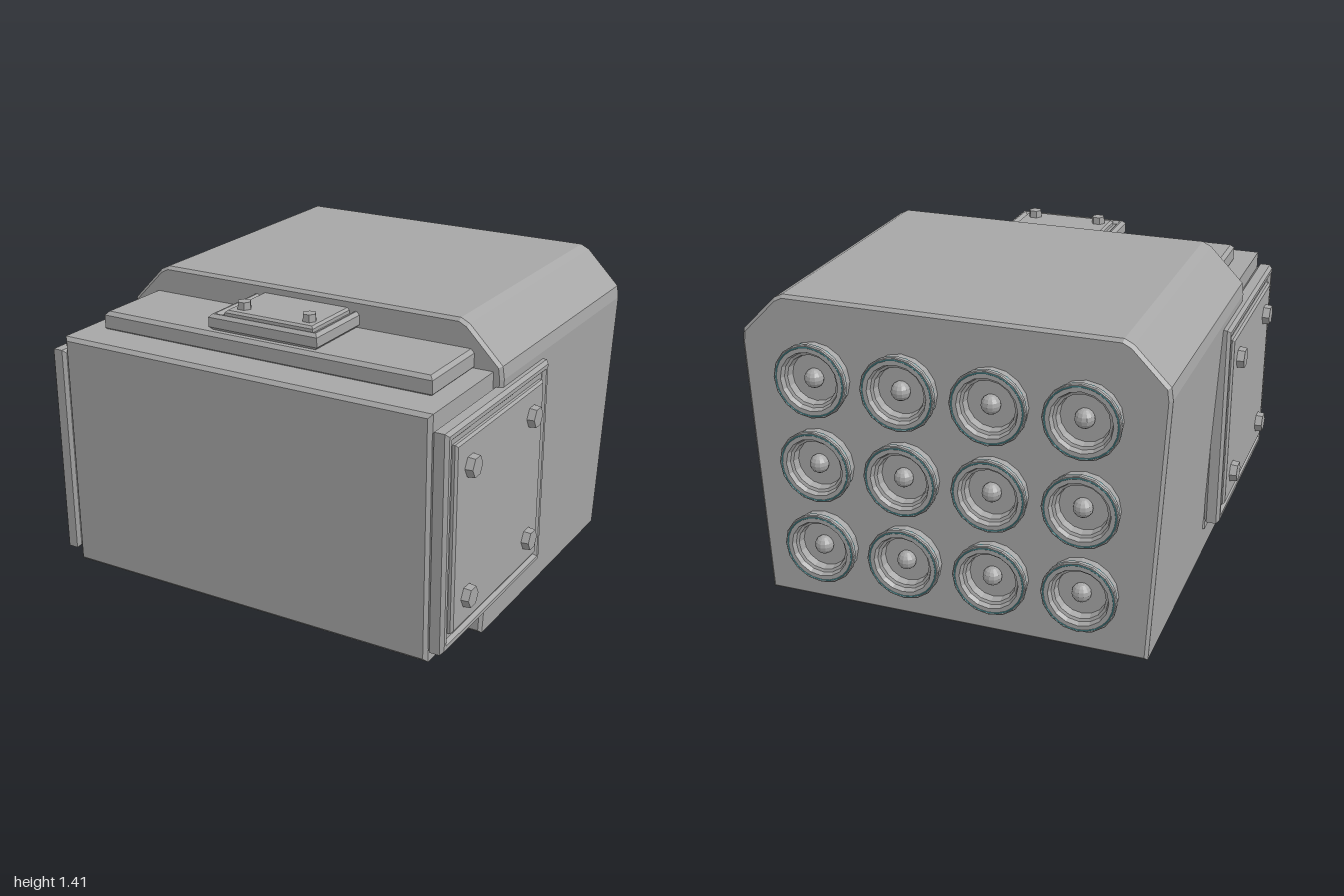
import * as THREE from 'three';

const grey = new THREE.MeshStandardMaterial({ color: 0xa6a6a6 });
grey.name = 'grey metal';
grey.flatShading = true;
const teal = new THREE.MeshStandardMaterial({ color: 0x5fb0b8 });
teal.name = 'teal trim';

function add(parent, name, geometry, x = 0, y = 0, z = 0, material = grey) {
  const mesh = new THREE.Mesh(geometry, material);
  mesh.name = name;
  mesh.position.set(x, y, z);
  parent.add(mesh);
  return mesh;
}

function rectPoints(w, h) {
  return [[-w / 2, -h / 2], [w / 2, -h / 2], [w / 2, h / 2], [-w / 2, h / 2]].map(p => new THREE.Vector2(...p));
}

// Extrudes an outline from z = 0 to z = depth, with bevelled edges inside the outline
function bevelled(points, depth, bevel, hole) {
  const shape = new THREE.Shape(points);
  if (hole) shape.holes.push(new THREE.Path(hole.slice().reverse()));
  const geometry = new THREE.ExtrudeGeometry(shape, {
    depth: depth - 2 * bevel, bevelEnabled: true, bevelSegments: 1,
    bevelSize: bevel, bevelThickness: bevel, bevelOffset: -bevel,
  });
  return geometry.translate(0, 0, bevel);
}

function bolt(radius, height) {
  return new THREE.CylinderGeometry(radius * 0.93, radius, height, 6)
    .rotateY(Math.PI / 6).rotateX(Math.PI / 2).translate(0, 0, height / 2);
}

// Framed plate facing +z: outer frame, groove, raised centre and hex bolts
function framedPlate(name, o) {
  const plate = new THREE.Group();
  plate.name = name;
  const { w, h, depth, margin, groove, bevel } = o;
  const holeW = w - 2 * margin, holeH = h - 2 * margin;
  add(plate, 'frame', bevelled(rectPoints(w, h), depth, bevel, rectPoints(holeW, holeH)));
  const floor = depth - 0.015;
  add(plate, 'grooveFloor', new THREE.BoxGeometry(holeW + 0.02, holeH + 0.02, floor), 0, 0, floor / 2);
  add(plate, 'centrePlate', bevelled(rectPoints(holeW - 2 * groove, holeH - 2 * groove), o.centre, bevel * 0.7));
  for (const [x, y] of o.bolts) add(plate, 'bolt', bolt(o.boltRadius, o.boltHeight), x, y, o.centre - 0.002);
  return plate;
}

// Round rear socket with a lip, teal seam and a domed centre
function socket() {
  const group = new THREE.Group();
  group.name = 'rearSocket';
  const profile = [[0.155, 0], [0.155, 0.044], [0.165, 0.048], [0.165, 0.062], [0.161, 0.066],
    [0.132, 0.066], [0.124, 0.045], [0.112, 0.04], [0.106, 0.006], [0, 0.006]];
  const toBack = g => g.rotateX(-Math.PI / 2);
  add(group, 'socketRim', toBack(new THREE.LatheGeometry(profile.map(p => new THREE.Vector2(...p)), 16)));
  add(group, 'tealSeam', toBack(new THREE.CylinderGeometry(0.1625, 0.1625, 0.006, 24, 1, true)), 0, 0, -0.046, teal);
  add(group, 'tealRing', new THREE.TorusGeometry(0.153, 0.003, 4, 24), 0, 0, -0.066, teal);
  add(group, 'socketDome', new THREE.SphereGeometry(0.042, 12, 8), 0, 0, -0.016);
  return group;
}

export function createModel() {
  const model = new THREE.Group();
  model.name = 'housingUnit';

  // Tapered rear housing with chamfered shoulders
  const half = [[0.872, 0.005], [0.93, 1.19], [0.922, 1.245], [0.77, 1.4], [0.73, 1.42]];
  const outline = [...half, ...half.slice().reverse().map(([x, y]) => [-x, y])];
  add(model, 'rearHousing', bevelled(outline.map(p => new THREE.Vector2(...p)), 1.3, 0.014), 0, 0, -0.89);

  // Front block and the slab on top of it
  add(model, 'frontBlock', bevelled(rectPoints(1.775, 1.07), 0.93, 0.016), 0, 0.685, 0.02);
  add(model, 'topSlab', bevelled(rectPoints(1.6, 0.48), 0.09, 0.016).rotateX(-Math.PI / 2), 0, 1.21, 0.535);

  // Hatch on the slab
  const hatch = framedPlate('topHatch', {
    w: 0.53, h: 0.45, depth: 0.07, margin: 0.035, groove: 0.014, bevel: 0.014, centre: 0.08,
    bolts: [[-0.16, -0.11], [0.16, -0.11]], boltRadius: 0.032, boltHeight: 0.034,
  });
  hatch.rotation.x = -Math.PI / 2;
  hatch.position.set(0, 1.3, 0.525);
  model.add(hatch);

  // Bolted side panels
  for (const side of [-1, 1]) {
    const panel = framedPlate(side > 0 ? 'leftPanel' : 'rightPanel', {
      w: 0.95, h: 0.95, depth: 0.073, margin: 0.045, groove: 0.022, bevel: 0.014, centre: 0.08,
      bolts: [[-0.29, -0.285], [0.29, -0.285], [-0.29, 0.285], [0.29, 0.285]],
      boltRadius: 0.049, boltHeight: 0.035,
    });
    panel.rotation.y = side * Math.PI / 2;
    panel.position.set(side * 0.887, 0.682, 0.477);
    model.add(panel);
  }

  // Grid of rear sockets
  for (let row = 0; row < 3; row++) {
    for (let col = 0; col < 4; col++) {
      const s = socket();
      s.position.set((col - 1.5) * 0.392, 0.29 + row * 0.394, -0.89);
      model.add(s);
    }
  }
  return model;
}
